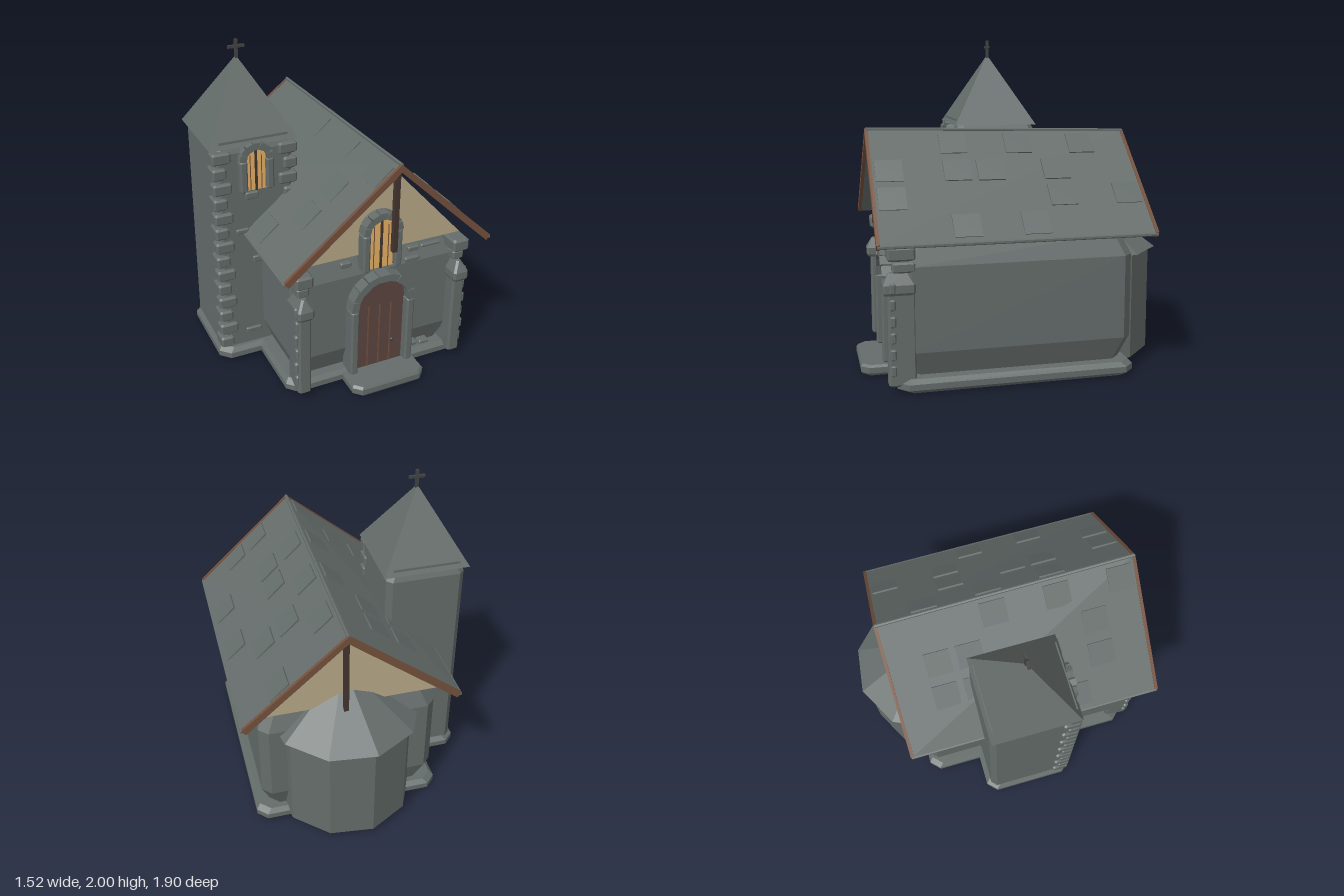
import * as THREE from 'three';

const mat = (name, color) => {
  const m = new THREE.MeshStandardMaterial({ color, side: THREE.DoubleSide });
  m.name = name;
  return m;
};

export function createModel() {
  const root = new THREE.Group();
  root.name = 'chapel';
  const stone = mat('stone', 0x646c6a), plaster = mat('plaster', 0xb8a888), glass = mat('warm glass', 0xe8b467);
  const doorWood = mat('door wood', 0x5c4540), trim = mat('trim wood', 0x74503c), dark = mat('dark wood', 0x43352f);
  const iron = mat('iron', 0x414342);

  const add = (name, geo, material, x = 0, y = 0, z = 0, parent = root) => {
    const g = geo.index ? geo.toNonIndexed() : geo;
    g.computeVertexNormals();
    const m = new THREE.Mesh(g, material);
    m.name = name;
    m.position.set(x, y, z);
    parent.add(m);
    return m;
  };

  // Block with cut corners in plan; levels are [height, inset]
  const cutBlock = (x0, x1, z0, z1, c, levels) => {
    const pos = [], idx = [];
    for (const [y, i] of levels) {
      const a = x0 + i, b = x1 - i, n = z0 + i, f = z1 - i;
      for (const [x, z] of [[b, f - c], [b, n + c], [b - c, n], [a + c, n], [a, n + c], [a, f - c], [a + c, f], [b - c, f]]) pos.push(x, y, z);
    }
    const top = (levels.length - 1) * 8;
    for (let l = 0; l < top; l += 8) {
      for (let i = 0; i < 8; i++) {
        const a = l + i, b = l + (i + 1) % 8;
        idx.push(a, b, b + 8, a, b + 8, a + 8);
      }
    }
    for (let i = 1; i < 7; i++) idx.push(top, top + i, top + i + 1, 0, i + 1, i);
    const g = new THREE.BufferGeometry();
    g.setAttribute('position', new THREE.Float32BufferAttribute(pos, 3));
    g.setIndex(idx);
    return g;
  };
  // Small bevelled stone
  const block = (name, x0, x1, y0, y1, z0, z1, b = 0.01, parent = root, material = stone) =>
    add(name, cutBlock(x0, x1, z0, z1, b, [[y0, b], [y0 + b, 0], [y1 - b, 0], [y1, b]]), material, 0, 0, 0, parent);

  // Plinth and front step
  add('navePlinth', cutBlock(-0.5, 0.68, -0.65, 0.77, 0.06, [[0, 0.03], [0.025, 0], [0.06, 0], [0.085, 0.025]]), stone);
  add('towerPlinth', cutBlock(-0.76, -0.2, -0.3, 0.3, 0.06, [[0, 0.03], [0.025, 0], [0.06, 0], [0.085, 0.025]]), stone);
  add('frontStep', cutBlock(-0.15, 0.33, 0.7, 0.95, 0.045, [[0.005, 0.01], [0.02, 0], [0.055, 0], [0.07, 0.01]]), stone);

  // Nave and tower walls
  add('naveWalls', cutBlock(-0.46, 0.64, -0.64, 0.74, 0.055, [[0.08, 0.055], [0.23, 0], [0.73, 0], [0.86, 0.055]]), stone);
  add('towerWalls', cutBlock(-0.735, -0.24, -0.27, 0.255, 0.035, [[0.06, 0], [1.41, 0], [1.475, 0.03]]), stone);

  // Tower roof and cross
  const spire = new THREE.ConeGeometry(0.27 * Math.SQRT2, 0.455, 4);
  spire.rotateY(Math.PI / 4);
  add('towerRoof', spire, stone, -0.49, 1.45 + 0.2275, 0);
  for (const s of [-1, 1]) add('towerRoofRib', new THREE.BoxGeometry(0.42, 0.02, 0.02), stone, -0.49, 1.48, s * 0.245);
  add('crossPost', new THREE.BoxGeometry(0.018, 0.14, 0.018), iron, -0.487, 1.93, 0);
  add('crossArm', new THREE.BoxGeometry(0.1, 0.016, 0.016), iron, -0.487, 1.957, 0);

  // Ten-sided apse
  const turn = Math.atan2(-0.09, -0.465);
  add('apseWalls', new THREE.CylinderGeometry(0.435, 0.435, 0.68, 10), stone, 0.09, 0.38, -0.485).rotation.y = turn;
  add('apseRoof', new THREE.ConeGeometry(0.474, 0.345, 10), stone, 0.09, 0.7 + 0.1725, -0.485).rotation.y = turn;

  // Gable infill
  const tri = new THREE.Shape([[-0.48, 0.85], [0.65, 0.85], [0.13, 1.41]].map(p => new THREE.Vector2(...p)));
  for (const z of [0.705, -0.62]) {
    add('gable', new THREE.ExtrudeGeometry(tri, { depth: 0.01, bevelEnabled: false }), plaster, 0, 0, z);
  }

  // Main roof: the ridge drops slightly towards the back
  const RX = 0.13, EAVE = 0.885;
  const ridgeY = z => 1.465 - (0.88 - z) / 1.62 * 0.035;
  const slab = (name, xe, z0, z1, grow, material) => {
    const s = Math.sign(xe - RX);
    const sh = new THREE.Shape([[RX, 1.465 + grow], [xe + s * grow, EAVE + grow], [xe - s * 0.02, EAVE - 0.025 - grow], [RX, 1.425 - grow]]
      .map(p => new THREE.Vector2(...p)));
    const g = new THREE.ExtrudeGeometry(sh, { depth: z1 - z0, bevelEnabled: false });
    g.translate(0, 0, z0);
    const p = g.attributes.position;
    for (let i = 0; i < p.count; i++) {
      const k = 1 - Math.min(1, Math.abs((p.getX(i) - RX) / (xe - RX)));
      p.setY(i, p.getY(i) + (ridgeY(p.getZ(i)) - 1.465) * k);
    }
    add(name, g, material);
  };
  const rod = (name, x, y0, y1, r) => {
    const len = Math.hypot(1.62, y1 - y0);
    const m = add(name, new THREE.CylinderGeometry(r, r, len, 6), stone, x, (y0 + y1) / 2, 0.07);
    m.rotation.x = Math.PI / 2 - Math.atan2(y1 - y0, 1.62);
  };
  for (const xe of [-0.565, 0.75]) {
    slab('roofSlope', xe, -0.73, 0.87, 0, stone);
    slab('frontBargeBoard', xe, 0.865, 0.885, 0.004, trim);
    slab('backBargeBoard', xe, -0.745, -0.725, 0.004, trim);
    rod('eaveRoll', xe, EAVE - 0.01, EAVE - 0.01, 0.011);
  }
  rod('ridgeRoll', RX, ridgeY(-0.74), ridgeY(0.88), 0.011);
  add('frontKingPost', new THREE.BoxGeometry(0.03, 0.52, 0.03), dark, RX, 1.16, 0.835);
  add('backKingPost', new THREE.BoxGeometry(0.03, 0.53, 0.03), dark, RX, 1.13, -0.695);

  // Raised shingles, given by plan centre
  const shingles = [[-0.3, -0.43], [-0.13, -0.43], [-0.3, -0.23], [-0.13, -0.23], [0.04, -0.03], [0.04, 0.37], [-0.48, 0.37],
    [-0.3, 0.57], [-0.13, 0.57], [0.04, 0.77], [0.52, -0.63], [0.37, -0.23], [0.52, -0.23], [0.215, -0.43], [0.215, -0.03],
    [0.67, -0.03], [0.37, 0.17], [0.215, 0.37], [0.37, 0.37], [0.67, 0.37], [0.37, 0.77], [0.52, 0.77]];
  for (const [x, z] of shingles) {
    const xe = x < RX ? -0.565 : 0.75, ry = ridgeY(z), slope = (EAVE - ry) / (xe - RX);
    const m = add('shingle', new THREE.BoxGeometry(0.155, 0.012, 0.16), stone, x, ry + slope * (x - RX) + 0.002, z);
    m.rotation.z = Math.atan(slope) + (x < RX ? 0.04 : -0.04);
  }

  // Round-headed opening with jambs and arch stones
  const opening = (name, cx, y0, spring, r, w, z0, zFill, zFrame, material, stones) => {
    const g = new THREE.Group();
    g.name = name;
    root.add(g);
    const sh = new THREE.Shape();
    sh.moveTo(-r, y0);
    sh.lineTo(r, y0);
    sh.lineTo(r, spring);
    sh.absarc(0, spring, r, 0, Math.PI, false);
    sh.lineTo(-r, y0);
    add(name + 'Panel', new THREE.ExtrudeGeometry(sh, { depth: zFill - z0, bevelEnabled: false, curveSegments: 10 }), material, cx, 0, z0, g);
    for (const s of [-1, 1]) {
      const a = cx + s * (r - 0.005), b = cx + s * (r + w);
      block(name + 'Jamb', Math.min(a, b), Math.max(a, b), y0, spring, z0, zFrame, 0.01, g);
    }
    for (let i = 0; i < stones; i++) {
      const t = (i + 0.5) / stones * Math.PI, rr = r + w / 2;
      const m = add(name + 'ArchStone', new THREE.BoxGeometry(w, Math.PI * rr / stones * 1.02, zFrame - z0 - (i % 2) * 0.008), stone,
        cx + rr * Math.cos(t), spring + rr * Math.sin(t), (z0 + zFrame) / 2, g);
      m.rotation.z = t;
    }
    return g;
  };
  const door = opening('door', 0.09, 0.07, 0.525, 0.165, 0.045, 0.7, 0.765, 0.82, doorWood, 9);
  for (const x of [0.015, 0.09, 0.165]) add('plankSeam', new THREE.BoxGeometry(0.007, 0.43, 0.008), trim, x, 0.285, 0.766, door);
  add('doorKnob', new THREE.SphereGeometry(0.013, 8, 6), iron, 0.175, 0.23, 0.775, door);

  const windows = [
    ['gableWindow', 0.09, 0.755, 1.0, 0.085, 0.042, 0.66, 0.752, 0.785],
    ['towerWindow', -0.487, 1.165, 1.365, 0.063, 0.042, 0.2, 0.27, 0.3],
  ];
  for (const [name, cx, y0, sp, r, w, z0, zf, zt] of windows) {
    const g = opening(name, cx, y0, sp, r, w, z0, zf, zt, glass, 7);
    const h = sp + r - y0;
    add('mullion', new THREE.BoxGeometry(0.014, h, 0.01), dark, cx, y0 + h / 2, zf + 0.003, g);
    for (const s of [-1, 1]) add('paneBar', new THREE.BoxGeometry(0.004, h * 0.85, 0.006), trim, cx + s * r * 0.55, y0 + h * 0.425, zf + 0.002, g);
  }

  // Front buttresses with sloped caps, and corner stones
  for (const [x, out] of [[-0.42, -1], [0.605, 1]]) {
    block('buttress', x - 0.04, x + 0.04, 0.04, 0.6, 0.66, 0.82, 0.012);
    const cap = cutBlock(x - 0.05, x + 0.05, 0.66, 0.845, 0.012, [[0.575, 0.008], [0.59, 0], [0.635, 0], [0.7, 0.035]]);
    add('buttressCap', cap, stone);
    for (let i = 0; i < 6; i++) {
      const a = x + out * (0.025 + (i % 2) * 0.003), b = x + out * (0.052 + (i % 2) * 0.006);
      block('buttressStone', Math.min(a, b), Math.max(a, b), 0.105 + i * 0.096, 0.17 + i * 0.096, 0.775, 0.81, 0.008);
    }
    block('cornerStone', x - 0.055, x + 0.055, 0.77, 0.85, 0.66, 0.82, 0.012);
    block('cornerStone', x - 0.035, x + 0.04, 0.7, 0.76, 0.66, 0.79, 0.01);
  }

  // Tower corner stones on the front
  for (let i = 0; i < 14; i++) {
    const y = 0.1 + i * 0.097, w = i % 2 ? 0.115 : 0.085, d = i % 2 ? 0.08 : 0.11;
    block('towerCornerStone', -0.752, -0.752 + w, y, y + 0.07, 0.28 - d, 0.28);
    block('towerCornerStone', -0.228 - w, -0.228, y, y + 0.07, 0.28 - d, 0.28);
  }

  // Loose facing stones: x, y, width, height, front z
  const facing = [[-0.12, 0.805, 0.07, 0.035, 0.73], [0.31, 0.752, 0.1, 0.03, 0.75], [0.45, 0.81, 0.14, 0.02, 0.725], [0.33, 0.81, 0.08, 0.03, 0.73],
    [0.34, 0.12, 0.08, 0.03, 0.75], [0.43, 0.112, 0.07, 0.025, 0.75], [-0.53, 0.18, 0.1, 0.03, 0.27],
    [-0.49, 0.69, 0.06, 0.04, 0.27], [-0.515, 1.13, 0.08, 0.045, 0.275], [-0.58, 0.9, 0.08, 0.03, 0.27]];
  for (const [x, y, w, h, z] of facing) block('facingStone', x - w / 2, x + w / 2, y - h / 2, y + h / 2, z - 0.06, z, 0.006);

  return root;
}
